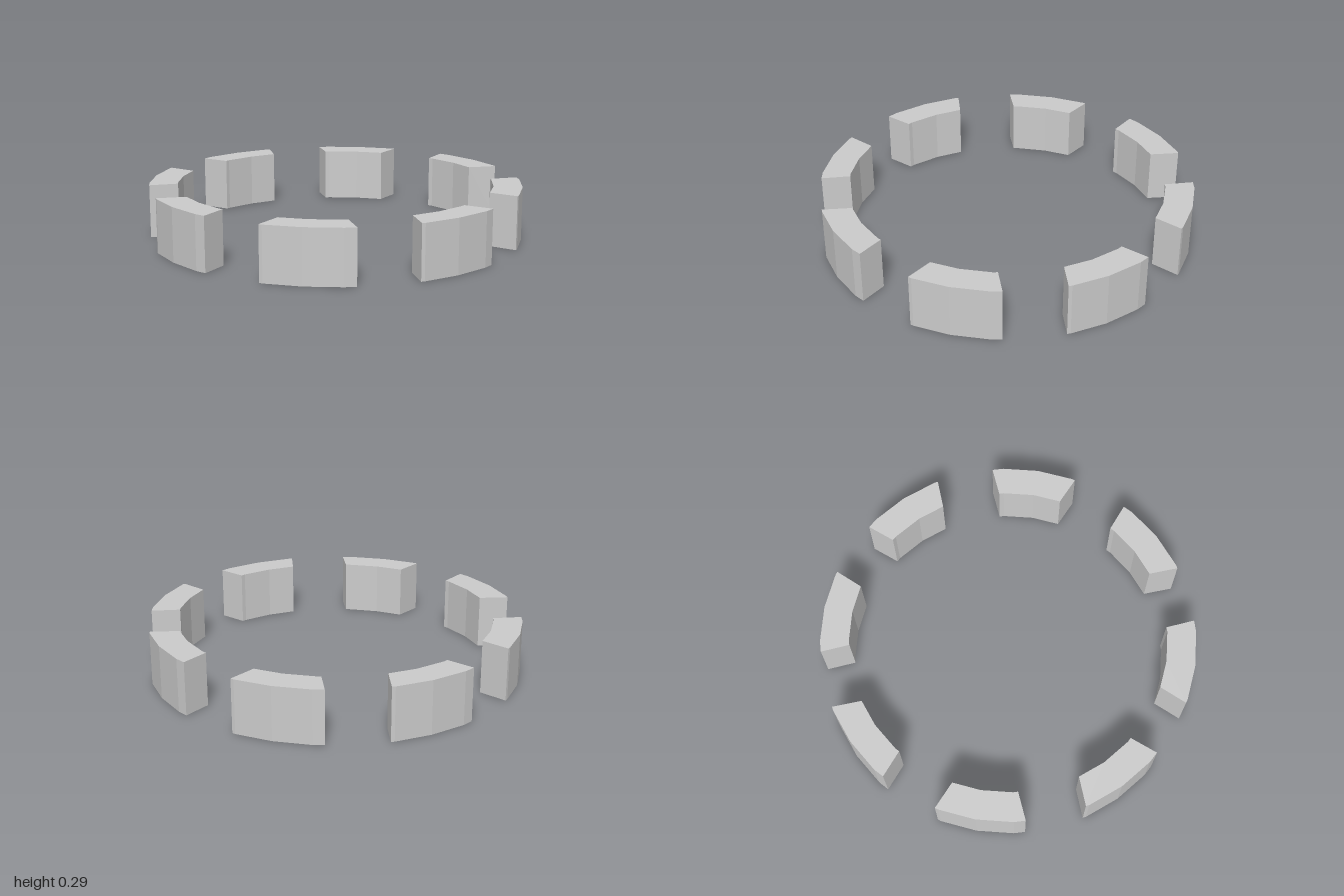
import * as THREE from 'three';

const HEIGHT = 0.29;
const COUNT = 8;

export function createModel() {
  const group = new THREE.Group();
  group.name = 'blockRing';
  const material = new THREE.MeshStandardMaterial({ color: 0xcccccc, flatShading: true });

  // Plan of one block: a piece of a faceted ring, outer arc then inner arc
  const plan = new THREE.Shape([
    [0.138, 1.0], [0.198, 0.994], [0.388, 0.936], [0.563, 0.843], [0.577, 0.831],
    [0.463, 0.721], [0.328, 0.793], [0.167, 0.842], [0.142, 0.844],
  ].map(([x, y]) => new THREE.Vector2(x, y)));

  // Extrude upwards so the block stands on the ground
  const geometry = new THREE.ExtrudeGeometry(plan, { depth: HEIGHT, bevelEnabled: false });
  geometry.rotateX(-Math.PI / 2);

  // Equal blocks around the circle
  for (let i = 0; i < COUNT; i++) {
    const block = new THREE.Mesh(geometry, material);
    block.name = `ringBlock${i + 1}`;
    block.rotation.y = (i * 2 * Math.PI) / COUNT;
    group.add(block);
  }
  return group;
}
